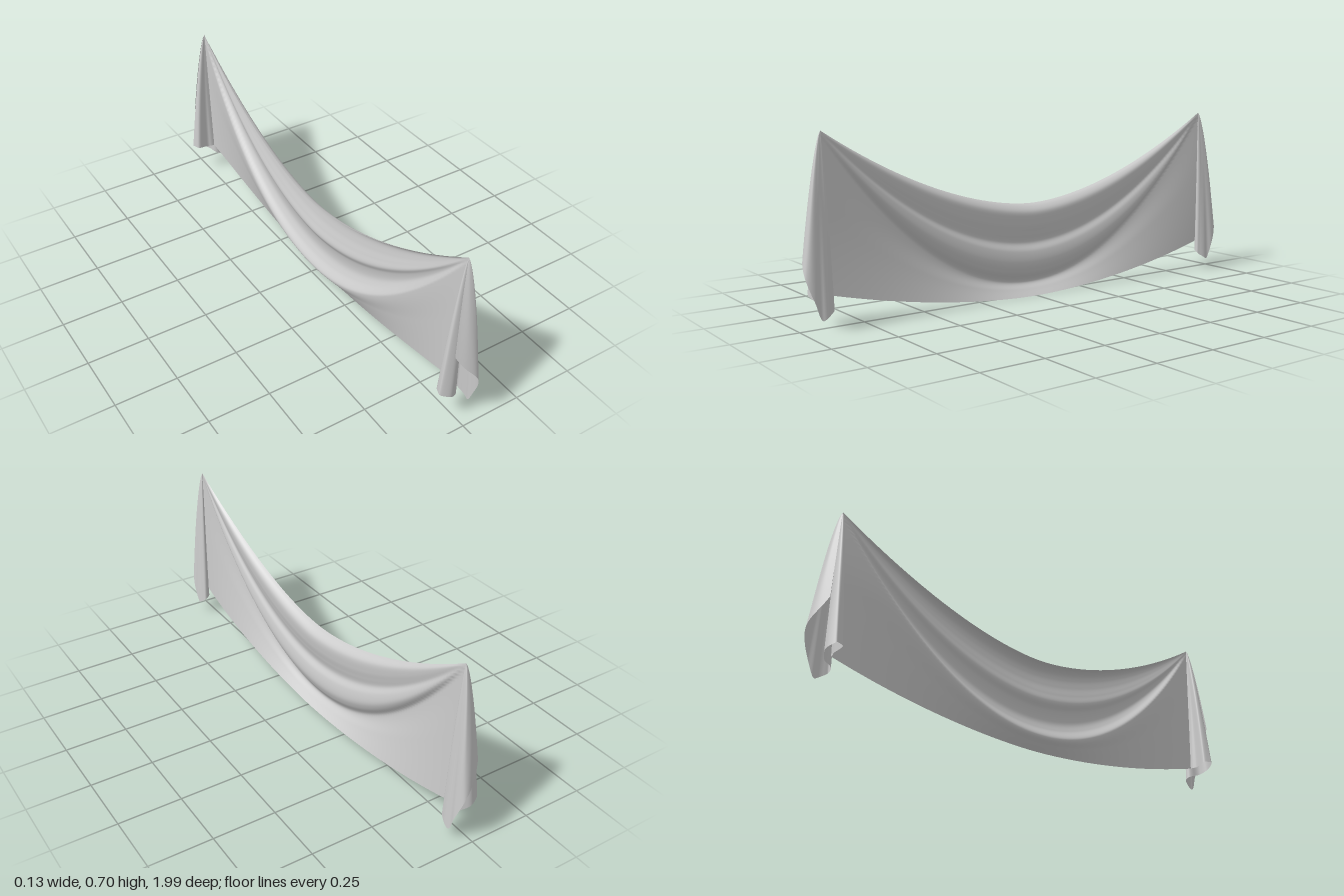
import * as THREE from 'three';
import { ParametricGeometry } from 'three/addons/geometries/ParametricGeometry.js';

const cloth = new THREE.MeshStandardMaterial({ color: 0xcccccc, side: THREE.DoubleSide });
const PIN = { x: 0.02, y: 0.7, z: 0.91 };
const MAIN_FOLD = 0.05;

// Smooth curve through a few points
const spline = (pts) => new THREE.CatmullRomCurve3(pts.map((p) => new THREE.Vector3(...p)), false, 'centripetal');

// Profile of the swag at mid span, from top hem to bottom hem: sideways offset x, height y
const foldProfile = spline([
  [-0.006, 0.37, 0], [0.01, 0.363, 0], [0.03, 0.34, 0], [0.028, 0.29, 0], [0.018, 0.25, 0],
  [0.01, 0.212, 0], [0.025, 0.18, 0], [0.03, 0.13, 0], [0.018, 0.095, 0],
  [-0.006, MAIN_FOLD, 0], [0.014, 0.026, 0], [0.04, 0, 0],
]).getPoints(200);

// Sideways offset of the fold that reaches height y at mid span
function foldOffset(y) {
  for (let i = 1; i < foldProfile.length; i++) {
    const a = foldProfile[i - 1], b = foldProfile[i];
    if (y >= b.y) return THREE.MathUtils.mapLinear(y, a.y, b.y, a.x, b.x);
  }
  return 0.04;
}

// Hanging sheet: folds sag between the pins, the cloth below the main fold opens out to the hem
function sheetPoint(u, v, target) {
  const t = 2 * u - 1, a = Math.abs(t);
  const top = 0.37 + 0.33 * a ** 1.75;
  const bottom = 0.125 * a ** 1.8;
  const y = THREE.MathUtils.lerp(top, bottom, v);
  const foldY = Math.min(MAIN_FOLD + 0.64 * a ** 2.05, top - 0.01);
  const level = y > foldY
    ? THREE.MathUtils.mapLinear(y, foldY, top, MAIN_FOLD, 0.37)
    : THREE.MathUtils.mapLinear(y, bottom, foldY, 0, MAIN_FOLD);
  // Small upper folds fade sooner than the main fold
  const upper = THREE.MathUtils.smoothstep(level, MAIN_FOLD, 0.2);
  const strength = (1 - a ** 4) * (1 - 0.5 * upper * a);
  const rest = PIN.x + 0.008 * v;
  target.set(rest + (foldOffset(level) - rest) * strength, y, t * (PIN.z - 0.01 * v));
}

// Gathered end: path of the cloth in plan (x, hem height, z), from the sheet round to the free edge
const gather = spline([
  [0.028, 0.125, 0.9], [0.0, 0.125, 0.905],
  [-0.05, 0.135, 0.903], [-0.064, 0.135, 0.93], [-0.03, 0.12, 0.948], [0.01, 0.1, 0.935],
  [0.025, 0.09, 0.905], [0.046, 0.078, 0.89], [0.057, 0.062, 0.908], [0.058, 0.045, 0.936],
  [0.062, 0.115, 0.965], [0.052, 0.2, 1.003],
  [0.0, 0.262, 0.995], [-0.048, 0.315, 0.965],
]);

// Every layer widens with distance below the pin and stops at its own hem
function tailPoint(side) {
  return (u, v, target) => {
    const p = gather.getPoint(u);
    const y = THREE.MathUtils.lerp(PIN.y, p.y, v);
    const spread = ((PIN.y - y) / 0.55) ** 0.7;
    const ripple = 0.0015 * Math.sin(u * 55 + v * 3) * v;
    target.set(
      PIN.x + (p.x - PIN.x) * spread + ripple,
      y,
      side * Math.min(1, PIN.z + (p.z - PIN.z) * spread + ripple),
    );
  };
}

function addCloth(group, name, fn, across, down) {
  const geometry = new ParametricGeometry(fn, across, down);
  geometry.computeVertexNormals();
  const mesh = new THREE.Mesh(geometry, cloth);
  mesh.name = name;
  group.add(mesh);
}

export function createModel() {
  const group = new THREE.Group();
  group.name = 'drapedCloth';
  addCloth(group, 'swagSheet', sheetPoint, 120, 100);
  addCloth(group, 'frontTail', tailPoint(1), 140, 32);
  addCloth(group, 'backTail', tailPoint(-1), 140, 32);
  return group;
}
